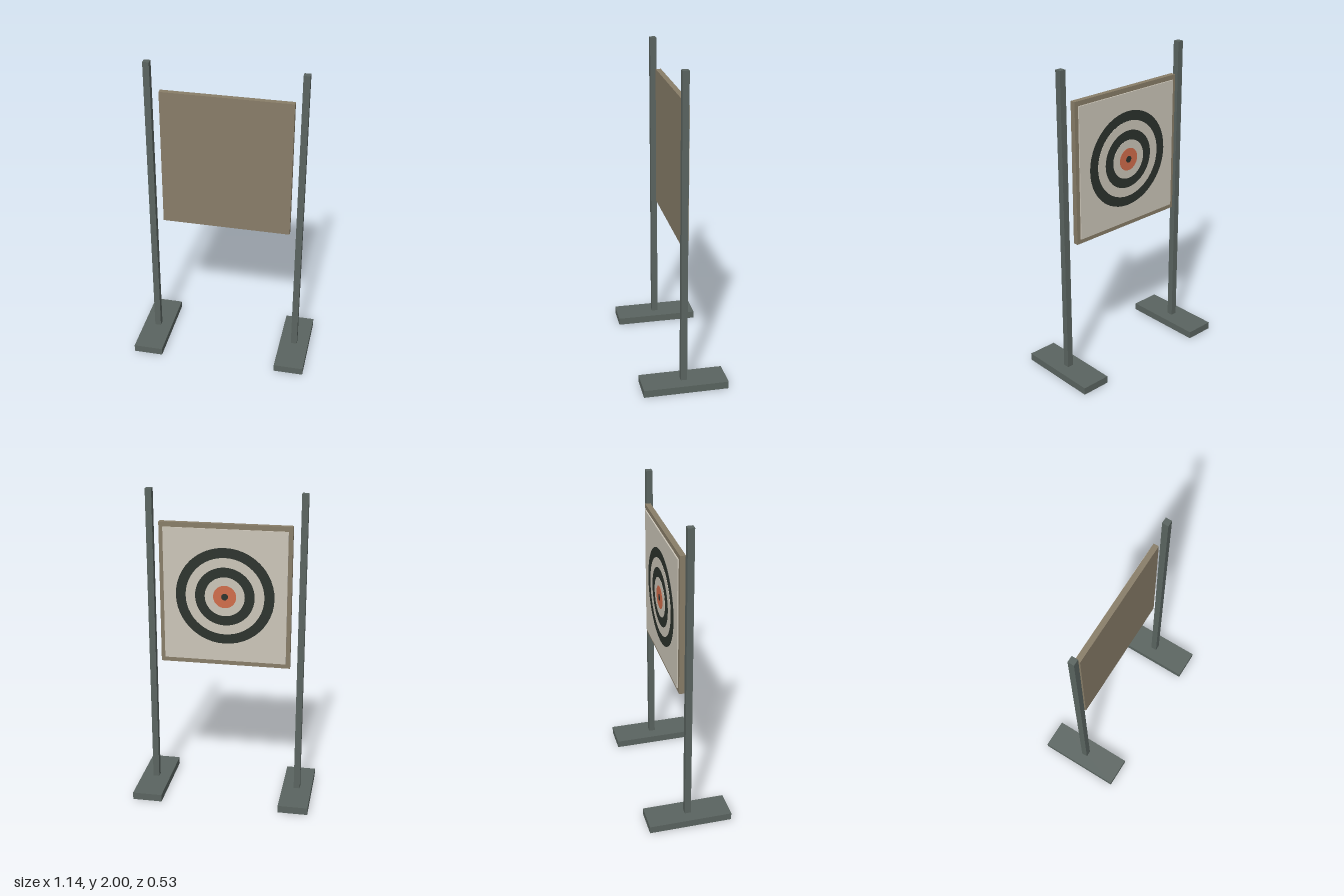
import * as THREE from 'three';

function material(name, color) {
  const m = new THREE.MeshStandardMaterial({ color });
  m.name = name;
  return m;
}

export function createModel() {
  const steel = material('grey green steel', 0x5a6460);
  const wood = material('brown board', 0x887d68);
  const paper = material('off white paper', 0xcbc5b8);
  const black = material('ring black', 0x2b322c);
  const red = material('bullseye red', 0xd06c4a);

  const group = new THREE.Group();
  group.name = 'targetStand';

  const add = (name, geometry, mat, x, y, z) => {
    const mesh = new THREE.Mesh(geometry, mat);
    mesh.name = name;
    mesh.position.set(x, y, z);
    group.add(mesh);
  };

  // Mirrored feet and uprights
  const footHeight = 0.047;
  for (const [side, s] of [['left', 1], ['right', -1]]) {
    add(side + 'Foot', new THREE.BoxGeometry(0.19, footHeight, 0.534), steel, s * 0.475, footHeight / 2, 0);
    add(side + 'Post', new THREE.BoxGeometry(0.04, 2 - footHeight, 0.04), steel, s * 0.475, 1 + footHeight / 2, 0);
  }

  // Backing board and paper sheet, facing -z
  const centreY = 1.353;
  add('board', new THREE.BoxGeometry(0.822, 0.905, 0.034), wood, 0, centreY, -0.023);
  add('paperSheet', new THREE.BoxGeometry(0.77, 0.845, 0.008), paper, 0, centreY, -0.044);

  // Stacked discs, each smaller one standing slightly proud of the last
  const step = 0.0015;
  const discs = [
    ['outerBlackRing', 0.308, black],
    ['outerPaleRing', 0.246, paper],
    ['innerBlackRing', 0.186, black],
    ['innerPaleRing', 0.125, paper],
    ['redBullseye', 0.072, red],
    ['centreDot', 0.021, black],
  ];
  discs.forEach(([name, radius, mat], i) => {
    const disc = new THREE.CylinderGeometry(radius, radius, step, 48).rotateX(Math.PI / 2);
    add(name, disc, mat, 0, centreY, -0.048 - step * (i + 0.5));
  });

  return group;
}
